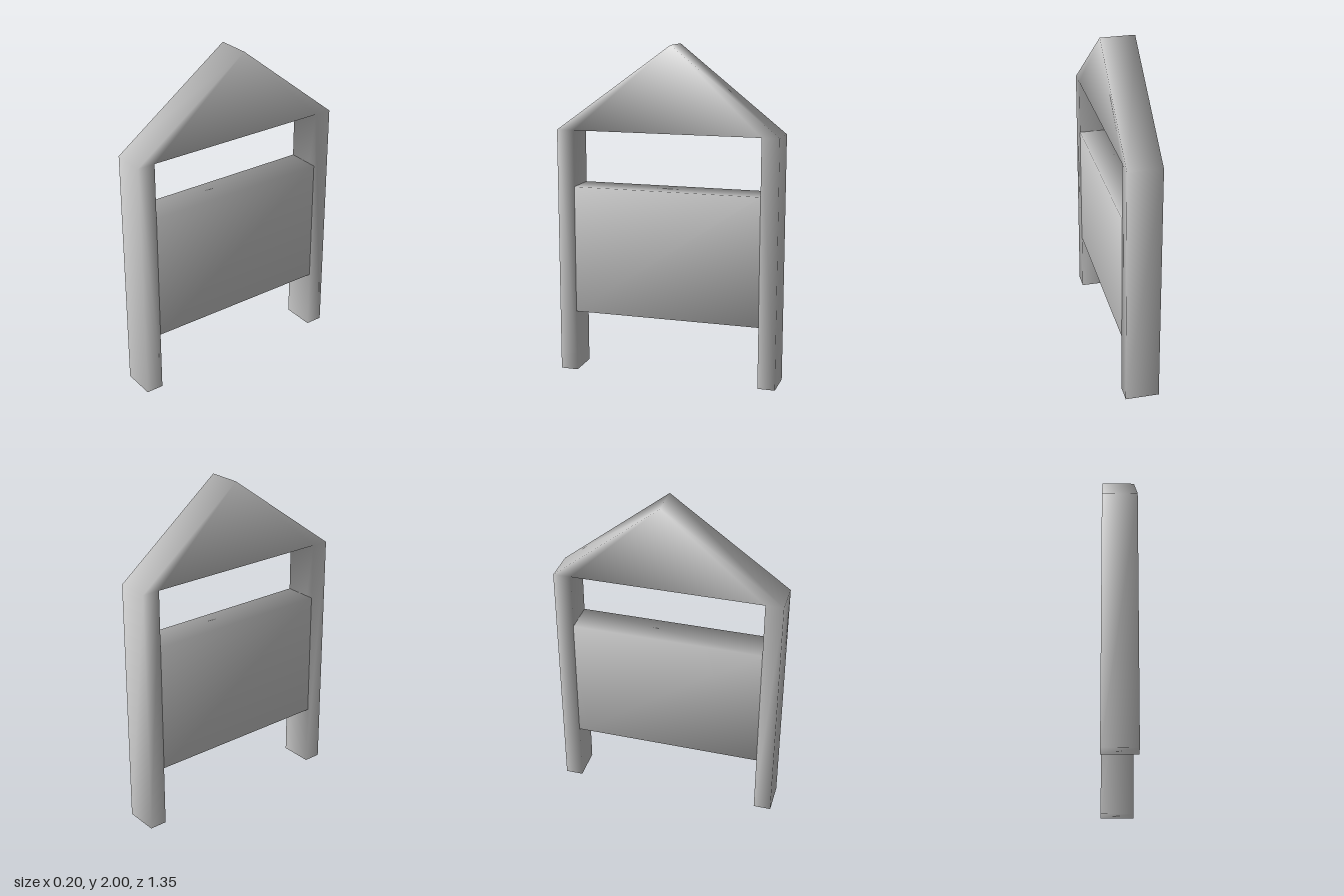
import * as THREE from 'three';
import { mergeVertices } from 'three/addons/utils/BufferGeometryUtils.js';

const DEPTH = 0.2;      // thickness along x
const OUTER = 0.675;    // outer face of the posts
const INNER = 0.57;     // inner face of the posts
const EAVE = 1.49;      // underside of the gable

// Weld shared corners so the shading rolls softly around the edges
function soften(geometry) {
  geometry.deleteAttribute('normal');
  geometry.deleteAttribute('uv');
  const welded = mergeVertices(geometry, 1e-4);
  welded.computeVertexNormals();
  return welded;
}

export function createModel() {
  const group = new THREE.Group();
  group.name = 'gabledSignBoard';
  const grey = new THREE.MeshStandardMaterial({ color: 0xcccccc });
  grey.name = 'lightGrey';

  // Two posts joined by a pointed gable, drawn as one outline (shape x = -z)
  const outline = new THREE.Shape([
    [-OUTER, 0], [-INNER, 0], [-INNER, EAVE], [INNER, EAVE], [INNER, 0],
    [OUTER, 0], [OUTER, EAVE], [0.033, 2], [-OUTER, EAVE],
  ].map(([x, y]) => new THREE.Vector2(x, y)));
  const frameGeometry = new THREE.ExtrudeGeometry(outline, { depth: DEPTH, bevelEnabled: false });
  frameGeometry.translate(0, 0, -DEPTH / 2).rotateY(Math.PI / 2);
  const frame = new THREE.Mesh(soften(frameGeometry), grey);
  frame.name = 'postsAndGable';
  group.add(frame);

  // Board between the posts, flush with both sides
  const bottom = 0.375, top = 1.15;
  const panel = new THREE.Mesh(soften(new THREE.BoxGeometry(DEPTH, top - bottom, INNER * 2)), grey);
  panel.position.y = (bottom + top) / 2;
  panel.name = 'panel';
  group.add(panel);

  return group;
}
